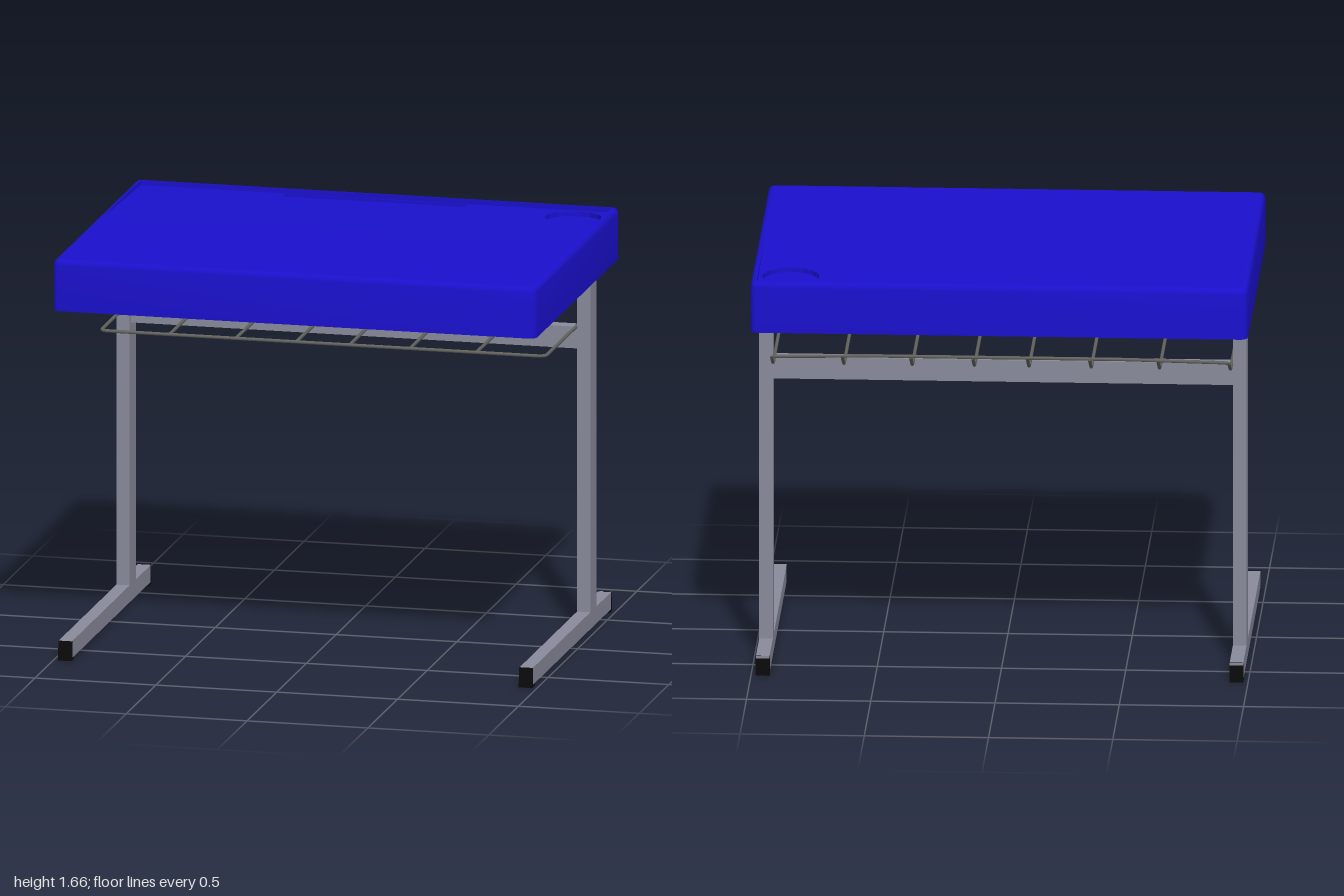
import * as THREE from 'three';
import { toCreasedNormals } from 'three/addons/utils/BufferGeometryUtils.js';

const mat = (color, side = THREE.FrontSide) => new THREE.MeshStandardMaterial({ color, side });
const BEND = -0.04, TOP = 1.66, CEILING = 1.615, POCKET = 0.02;

// height of the writing surface: level in front, dropping gently to the back rim
const surfaceY = z => (z >= BEND ? TOP : TOP - 0.02 * (BEND - z) / 0.645);

// rounded-rectangle outline of the top, as (x, -z), counter-clockwise from above
function outline(inset) {
  const hx = 1 - inset, hz = 0.71 - inset, r = Math.max(0.03 - inset, 0.008), pts = [];
  const corners = [[1, -1], [1, 1], [-1, 1], [-1, -1]];
  corners.forEach(([sx, sy], c) => {
    for (let k = 0; k <= 5; k++) {
      const a = (c - 1 + k / 5) * Math.PI / 2;
      pts.push(new THREE.Vector2(sx * (hx - r) + r * Math.cos(a), sy * (hz - r) + r * Math.sin(a)));
    }
    if (c === 0 || c === 2) pts.push(new THREE.Vector2(sx * hx, -BEND));
  });
  return pts;
}

// skin through outlines listed as [inset, y]; y may depend on z
function loft(profile) {
  const pos = [], idx = [], n = outline(0).length;
  profile.forEach(([inset, y]) => outline(inset).forEach(p =>
    pos.push(p.x, typeof y === 'function' ? y(-p.y) : y, -p.y)));
  for (let j = 0; j < profile.length - 1; j++) {
    for (let i = 0; i < n; i++) {
      const a = j * n + i, b = j * n + (i + 1) % n;
      idx.push(a, b, b + n, a, b + n, a + n);
    }
  }
  const g = new THREE.BufferGeometry();
  g.setAttribute('position', new THREE.Float32BufferAttribute(pos, 3));
  g.setIndex(idx);
  return toCreasedNormals(g, 0.7);
}

// flat outline laid onto the writing surface
function panel(points, holes = [], drop = 0) {
  const shape = new THREE.Shape(points);
  holes.forEach(h => shape.holes.push(new THREE.Path(h)));
  const g = new THREE.ShapeGeometry(shape), p = g.attributes.position;
  for (let i = 0; i < p.count; i++) {
    const x = p.getX(i), z = -p.getY(i);
    p.setXYZ(i, x, surfaceY(z) - drop, z);
  }
  g.computeVertexNormals();
  return g;
}

// upright sides of a pocket sunk into the surface
function pocketWall(points) {
  const pos = [];
  points.forEach((p, i) => {
    const q = points[(i + 1) % points.length];
    const v = (s, d) => [s.x, surfaceY(-s.y) - d, -s.y];
    const a = v(p, 0), b = v(q, 0), c = v(q, POCKET), d = v(p, POCKET);
    pos.push(...a, ...b, ...c, ...a, ...c, ...d);
  });
  const g = new THREE.BufferGeometry();
  g.setAttribute('position', new THREE.Float32BufferAttribute(pos, 3));
  g.computeVertexNormals();
  return g;
}

// wire along a polyline with rounded bends
function wire(points, closed, segments) {
  const v = points.map(p => new THREE.Vector3(...p)), n = v.length, path = new THREE.CurvePath();
  const toward = (a, b) => a.clone().add(b.clone().sub(a).setLength(0.03));
  let last = closed ? toward(v[0], v[1]) : v[0];
  const start = last;
  for (let i = 1; i < (closed ? n + 1 : n - 1); i++) {
    const c = v[i % n], before = toward(c, v[i - 1]), after = toward(c, v[(i + 1) % n]);
    path.add(new THREE.LineCurve3(last, before));
    path.add(new THREE.QuadraticBezierCurve3(before, c, after));
    last = after;
  }
  if (!closed) path.add(new THREE.LineCurve3(last, v[n - 1]));
  else last.copy(start);
  return new THREE.TubeGeometry(path, segments, 0.007, 8, closed);
}

export function createModel() {
  const model = new THREE.Group();
  const blue = mat(0x1a10cc), blueThin = mat(0x1a10cc, THREE.DoubleSide);
  const steel = mat(0x888a9a), wireMat = mat(0x62625f), black = mat(0x0a0a0a);
  const add = (parent, name, geometry, material, x = 0, y = 0, z = 0) => {
    const m = new THREE.Mesh(geometry, material);
    m.name = name;
    m.position.set(x, y, z);
    parent.add(m);
    return m;
  };
  const group = name => {
    const g = new THREE.Group();
    g.name = name;
    model.add(g);
    return g;
  };

  // hollow desk top with a rounded upper edge and shallow rim
  const top = group('deskTop');
  add(top, 'topShell', loft([[0.015, CEILING], [0.015, 1.45], [0, 1.45], [0, 1.637],
    [0.002, 1.646], [0.007, 1.654], [0.014, 1.659], [0.025, TOP], [0.025, surfaceY]]), blue);
  add(top, 'underside', new THREE.ShapeGeometry(new THREE.Shape(outline(0.015)))
    .rotateX(Math.PI / 2), blue, 0, CEILING, 0);

  // pencil groove and round cup recess
  const groove = [[-0.37, 0.625], [0.38, 0.625], [0.38, 0.68], [-0.37, 0.68]]
    .map(p => new THREE.Vector2(...p));
  const cup = Array.from({ length: 16 }, (_, i) => {
    const a = i / 16 * Math.PI * 2;
    return new THREE.Vector2(0.845 + 0.115 * Math.cos(a), 0.555 + 0.115 * Math.sin(a));
  });
  const rim = outline(0.025);
  add(top, 'frontSurface', panel(rim.filter(p => -p.y >= BEND)), blue);
  add(top, 'backSurface', panel(rim.filter(p => -p.y <= BEND), [groove, cup]), blue);
  [['pencilGroove', groove], ['cupRecess', cup]].forEach(([name, pts]) => {
    add(top, name + 'Wall', pocketWall(pts), blueThin);
    add(top, name + 'Floor', panel(pts, [], POCKET), blue);
  });

  // side frames: upright, foot bar and end caps
  const capShape = new THREE.Shape([[0.645, 0], [0.69, 0], [0.682, 0.08], [0.675, 0.08],
    [0.675, 0.01], [0.645, 0.01]].map(p => new THREE.Vector2(...p)));
  const capGeo = new THREE.ExtrudeGeometry(capShape, { depth: 0.056, bevelEnabled: false })
    .translate(0, 0, -0.028).rotateY(-Math.PI / 2);
  for (const [side, s] of [['left', 1], ['right', -1]]) {
    const frame = group(side + 'Frame');
    frame.position.x = s * 0.953;
    add(frame, 'upright', new THREE.BoxGeometry(0.055, CEILING - 0.075, 0.105), steel,
      0, (CEILING + 0.075) / 2, -0.345);
    add(frame, 'footBar', new THREE.BoxGeometry(0.055, 0.07, 1.33), steel, 0, 0.045, 0.015);
    add(frame, 'frontCap', capGeo, black);
    add(frame, 'backCap', capGeo, black, 0, 0, 0.033).rotation.y = Math.PI;
  }
  add(model, 'crossBar', new THREE.BoxGeometry(1.86, 0.09, 0.055), steel, 0, 1.207, -0.345);

  // wire book basket: outer loop and inner wires, turned up at the back
  const basket = group('bookBasket');
  const yLow = 1.257, zFront = 0.22, zBend = -0.48, zBack = -0.615;
  add(basket, 'basketFrame', wire([
    [0.92, yLow, zFront], [0.92, yLow, zBend], [0.92, 1.325, zBack], [0.5, 1.333, zBack],
    [-0.5, 1.333, zBack], [-0.92, 1.325, zBack], [-0.92, yLow, zBend], [-0.92, yLow, zFront],
  ], true, 320), wireMat);
  const wireGeo = wire([[0, yLow, zFront], [0, yLow, zBend], [0, 1.331, zBack]], false, 40);
  for (const x of [0.11, 0.36, 0.635]) {
    for (const s of [1, -1]) add(basket, 'basketWire', wireGeo, wireMat, s * x, 0, 0);
  }
  return model;
}
